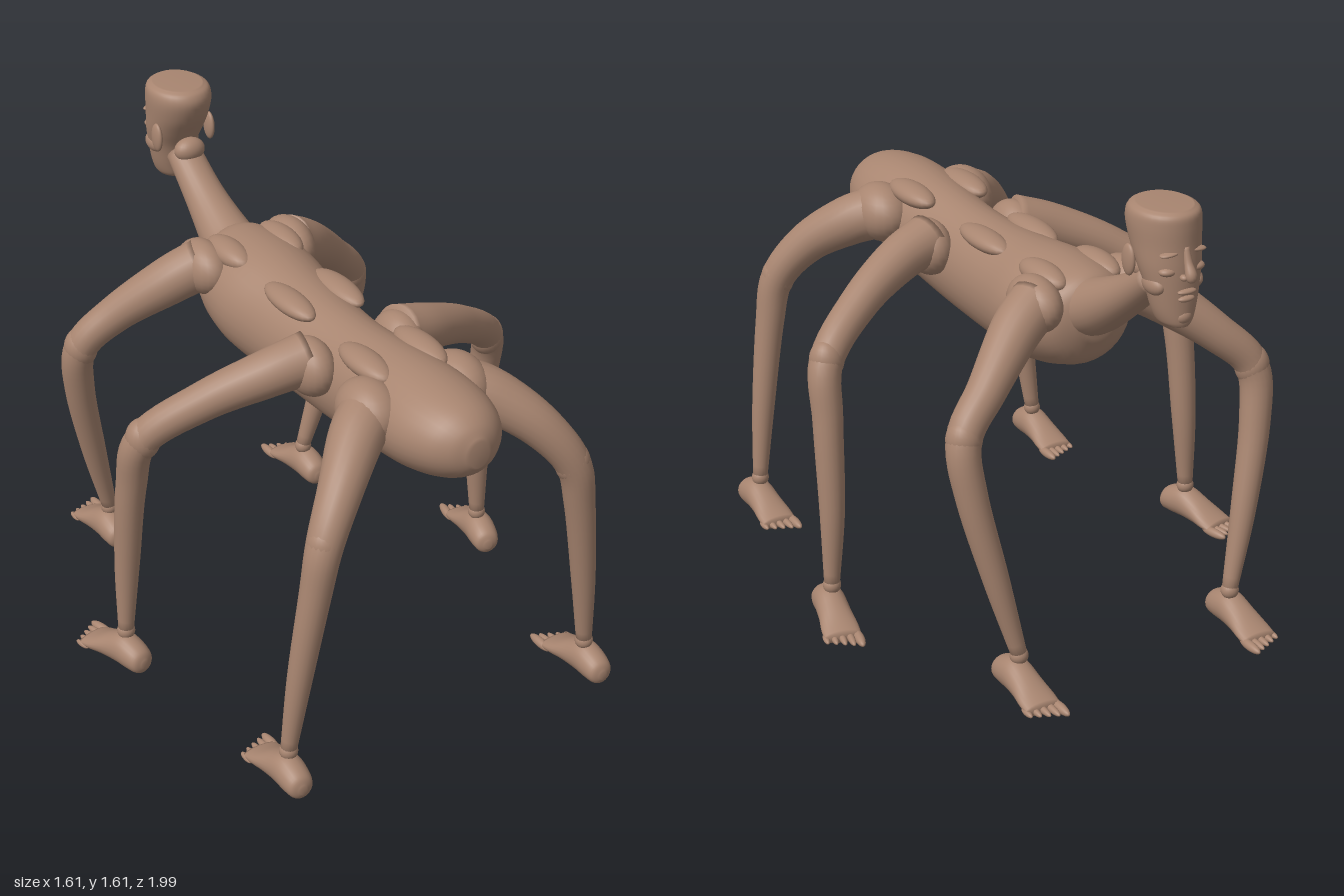
import * as THREE from 'three';

const skin = new THREE.MeshStandardMaterial({ color: 0xa88570 });
skin.name = 'skin';
const X = new THREE.Vector3(1, 0, 0), Y = new THREE.Vector3(0, 1, 0);
const Z = new THREE.Vector3(0, 0, 1), FORWARD = new THREE.Vector3(0, 0, -1);

// Smooth closed loft through cross-sections [x, y, z, radius along ref, other radius]
function loft(sections, ref, axis, steps = 32, sides = 24) {
  const path = new THREE.CatmullRomCurve3(sections.map(s => new THREE.Vector3(s[0], s[1], s[2])));
  const size = new THREE.CatmullRomCurve3(sections.map(s => new THREE.Vector3(s[3], s[4] ?? s[3], 0)));
  path.curveType = size.curveType = 'catmullrom';
  const pos = [], index = [];
  for (let i = 0; i <= steps; i++) {
    const c = path.getPoint(i / steps), r = size.getPoint(i / steps);
    const t = axis ?? path.getTangent(i / steps);
    const v = new THREE.Vector3().crossVectors(t, ref).normalize();
    const u = new THREE.Vector3().crossVectors(v, t).normalize();
    for (let j = 0; j < sides; j++) {
      const a = j / sides * Math.PI * 2;
      const p = c.clone().addScaledVector(u, Math.cos(a) * r.x).addScaledVector(v, Math.sin(a) * r.y);
      pos.push(p.x, p.y, p.z);
      if (i < steps) {
        const k = i * sides + j, n = i * sides + (j + 1) % sides;
        index.push(k, n, k + sides, n, n + sides, k + sides);
      }
    }
  }
  const first = path.getPoint(0), last = path.getPoint(1);
  const a = pos.length / 3, end = steps * sides;
  pos.push(first.x, first.y, first.z, last.x, last.y, last.z);
  for (let j = 0; j < sides; j++) {
    const n = (j + 1) % sides;
    index.push(a, n, j, a + 1, end + j, end + n);
  }
  const geo = new THREE.BufferGeometry();
  geo.setAttribute('position', new THREE.Float32BufferAttribute(pos, 3));
  geo.setIndex(index);
  geo.computeVertexNormals();
  return geo;
}

function add(parent, name, geo) {
  const mesh = new THREE.Mesh(geo, skin);
  mesh.name = name;
  parent.add(mesh);
  return mesh;
}

// Ellipsoid with given centre and semi-axes
function blob(parent, name, [x, y, z], [rx, ry, rz]) {
  const mesh = add(parent, name, new THREE.SphereGeometry(1, 24, 16));
  mesh.position.set(x, y, z);
  mesh.scale.set(rx, ry, rz);
  return mesh;
}

// Foot with its ankle at the local origin, toes towards -z, big toe on the inside
function makeFoot(s) {
  const foot = new THREE.Group();
  foot.name = 'foot';
  add(foot, 'sole', loft([
    [0, 0.04, 0.105, 0.012, 0.015], [0, 0.044, 0.09, 0.04, 0.04], [0, 0.053, 0.05, 0.05, 0.052],
    [0, 0.058, 0, 0.052, 0.057], [0, 0.046, -0.06, 0.055, 0.045], [0, 0.03, -0.12, 0.062, 0.029],
    [0, 0.02, -0.165, 0.061, 0.018]], X, FORWARD));
  for (let i = 0; i < 5; i++) {
    const r = i === 0 ? 0.016 : 0.0125 - i * 0.0006;
    blob(foot, 'toe', [s * (-0.049 + i * 0.026), 0.017, -0.178 + i * 0.006],
      [r, r, 0.054 - i * 0.006]);
  }
  return foot;
}

// Leg path points are [x, y, z, radius]; the hip is first, the ankle last
const legs = [
  { name: 'frontLeg', turn: 0, hip: [0.165, 1.155, -0.375], joint: [0.075, 0.09, 0.12], path: [
    [0.16, 1.165, -0.38, 0.085], [0.27, 1.1, -0.43, 0.08], [0.42, 0.98, -0.52, 0.063],
    [0.53, 0.86, -0.57, 0.056], [0.525, 0.68, -0.605, 0.051], [0.465, 0.4, -0.645, 0.042],
    [0.4, 0.13, -0.675, 0.026]] },
  { name: 'middleLeg', turn: -0.22, hip: [0.165, 1.11, 0.305], joint: [0.075, 0.095, 0.11], path: [
    [0.16, 1.14, 0.3, 0.085], [0.3, 1.1, 0.265, 0.076], [0.48, 1.02, 0.19, 0.063],
    [0.65, 0.89, 0.1, 0.056], [0.675, 0.7, 0.055, 0.05], [0.685, 0.4, 0.025, 0.042],
    [0.697, 0.13, 0.02, 0.026]] },
  { name: 'rearLeg', turn: 0, hip: [0.16, 1.12, 0.64], joint: [0.095, 0.1, 0.125], path: [
    [0.16, 1.12, 0.64, 0.09], [0.25, 1.08, 0.71, 0.085], [0.36, 0.99, 0.805, 0.07],
    [0.45, 0.86, 0.865, 0.058], [0.485, 0.7, 0.87, 0.05], [0.53, 0.4, 0.855, 0.04],
    [0.562, 0.13, 0.84, 0.026]] },
];

function makeLeg(leg, s) {
  const g = new THREE.Group();
  g.name = leg.name;
  const flip = ([x, y, z]) => [s * x, y, z];
  blob(g, 'hipJoint', flip(leg.hip), leg.joint);
  add(g, 'limb', loft(leg.path.map(([x, y, z, r]) => [s * x, y, z, r]), Z, null, 40, 20));
  blob(g, 'knee', flip(leg.path[3]), [0.057, 0.07, 0.057]);
  const [x, , z] = leg.path[6];
  blob(g, 'ankle', [s * x, 0.125, z], [0.03, 0.03, 0.03]);
  const foot = makeFoot(s);
  foot.position.set(s * (x + 0.008), 0, z);
  foot.rotation.y = s * leg.turn;
  g.add(foot);
  return g;
}

function makeHead() {
  const head = new THREE.Group();
  head.name = 'head';
  add(head, 'skull', loft([
    [0, 1.254, -0.893, 0.042, 0.057], [0, 1.27, -0.89, 0.055, 0.064], [0, 1.31, -0.885, 0.07, 0.07],
    [0, 1.38, -0.875, 0.085, 0.081], [0, 1.44, -0.857, 0.098, 0.098], [0, 1.5, -0.837, 0.104, 0.115],
    [0, 1.56, -0.826, 0.108, 0.125], [0, 1.595, -0.828, 0.102, 0.118], [0, 1.61, -0.83, 0.08, 0.095]],
    X, Y, 40, 32));
  blob(head, 'nape', [0, 1.385, -0.755], [0.055, 0.042, 0.04]);
  add(head, 'nose', loft([[0, 1.505, -0.945, 0.01], [0, 1.46, -0.96, 0.013],
    [0, 1.425, -0.976, 0.018], [0, 1.408, -0.972, 0.012]], X, null, 16, 16));
  blob(head, 'upperLip', [0, 1.37, -0.956], [0.032, 0.009, 0.014]);
  blob(head, 'lowerLip', [0, 1.347, -0.954], [0.028, 0.01, 0.014]);
  blob(head, 'chin', [0, 1.285, -0.935], [0.03, 0.025, 0.025]);
  for (const s of [-1, 1]) {
    blob(head, 'ear', [s * 0.1, 1.436, -0.797], [0.014, 0.05, 0.031]);
    blob(head, 'cheek', [s * 0.066, 1.38, -0.88], [0.026, 0.032, 0.05]);
    blob(head, 'eye', [s * 0.048, 1.432, -0.925], [0.03, 0.015, 0.024]);
    blob(head, 'brow', [s * 0.045, 1.488, -0.93], [0.035, 0.008, 0.02]).rotation.z = -s * 0.1;
    blob(head, 'nostril', [s * 0.016, 1.418, -0.962], [0.012, 0.01, 0.014]);
  }
  return head;
}

export function createModel() {
  const model = new THREE.Group();
  model.name = 'sixLeggedCreature';

  // Long trunk from chest to rounded rear
  add(model, 'torso', loft([
    [0, 1.12, -0.485, 0.07, 0.08], [0, 1.095, -0.44, 0.145, 0.145], [0, 1.08, -0.36, 0.185, 0.172],
    [0, 1.063, -0.22, 0.2, 0.19], [0, 1.048, -0.05, 0.178, 0.187], [0, 1.04, 0.12, 0.162, 0.182],
    [0, 1.042, 0.3, 0.152, 0.18], [0, 1.06, 0.48, 0.157, 0.177], [0, 1.083, 0.65, 0.172, 0.166],
    [0, 1.096, 0.8, 0.172, 0.148], [0, 1.103, 0.91, 0.14, 0.122], [0, 1.103, 0.97, 0.092, 0.087],
    [0, 1.1, 1.0, 0.035, 0.045]], X, Z, 60, 32));

  // Tapering neck
  add(model, 'neck', loft([[0, 1.12, -0.4, 0.11, 0.1], [0, 1.16, -0.5, 0.092, 0.088],
    [0, 1.25, -0.65, 0.07, 0.065], [0, 1.36, -0.8, 0.06, 0.05]], X, null));
  model.add(makeHead());

  for (const s of [-1, 1]) {
    // Muscle pads along the back
    blob(model, 'shoulderPad', [s * 0.098, 1.215, -0.315], [0.052, 0.04, 0.118]);
    blob(model, 'backPad', [s * 0.09, 1.202, 0.06], [0.05, 0.033, 0.138]);
    blob(model, 'hipPad', [s * 0.1, 1.21, 0.525], [0.053, 0.036, 0.13]);
    for (const leg of legs) model.add(makeLeg(leg, s));
  }
  return model;
}
